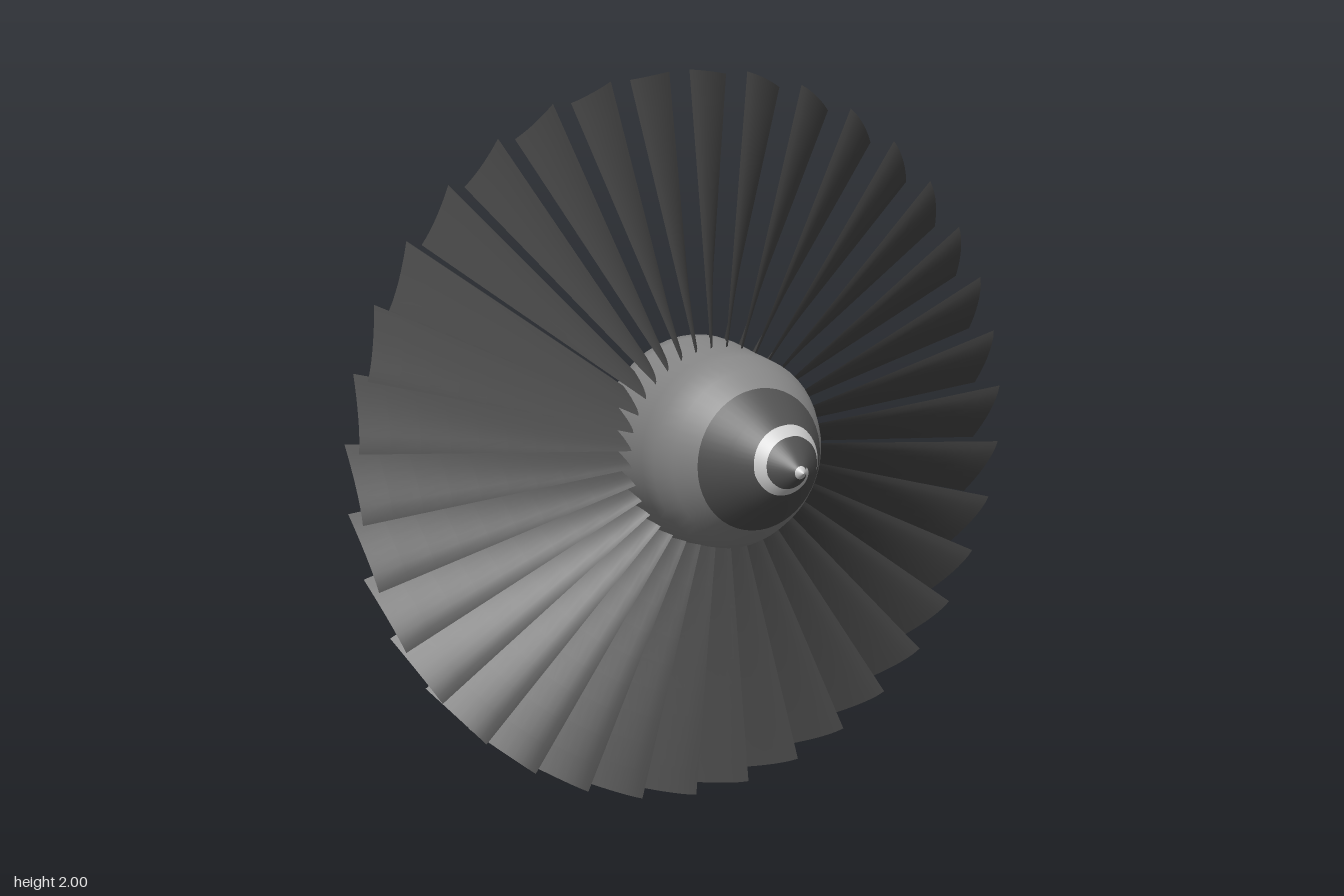
import * as THREE from 'three';

const BLADES = 36;

// Spinner profile as [radius, z], from the rear rim to the tip
const BODY = [[0.284, -0.28], [0.295, -0.28], [0.293, -0.245], [0.275, -0.127], [0.27, -0.08], [0.262, -0.03], [0.232, 0.02], [0.19, 0.075]];
const NOSE = [[0.19, 0.075], [0.135, 0.142], [0.085, 0.198], [0.04, 0.241], [0, 0.277]];

const material = (color) => new THREE.MeshStandardMaterial({ color, roughness: 0.7, side: THREE.DoubleSide });

function part(name, geometry, mat) {
  const mesh = new THREE.Mesh(geometry, mat);
  mesh.name = name;
  return mesh;
}

// Lathe turned so that its axis points forward
function turned(profile) {
  return new THREE.LatheGeometry(profile.map(([r, z]) => new THREE.Vector2(r, z)), 48).rotateX(Math.PI / 2);
}

// Grid surface from a rule f(u, v) -> [x, y, z]
function surface(nu, nv, f) {
  const pos = [], index = [];
  for (let i = 0; i <= nu; i++) {
    for (let j = 0; j <= nv; j++) {
      pos.push(...f(i / nu, j / nv));
      if (i < nu && j < nv) {
        const a = i * (nv + 1) + j, b = a + nv + 1;
        index.push(a, b, a + 1, b, b + 1, a + 1);
      }
    }
  }
  const g = new THREE.BufferGeometry();
  g.setAttribute('position', new THREE.Float32BufferAttribute(pos, 3));
  g.setIndex(index);
  g.computeVertexNormals();
  return g;
}

// Height of the nose at a given radius
function noseZ(r) {
  for (let i = NOSE.length - 1; i > 0; i--) {
    const [r0, z0] = NOSE[i], [r1, z1] = NOSE[i - 1];
    if (r <= r1) return z0 + (z1 - z0) * (r - r0) / (r1 - r0);
  }
  return NOSE[0][1];
}

export function createModel() {
  const model = new THREE.Group();
  model.name = 'turbineFan';
  const fan = new THREE.Group();
  fan.name = 'rotor';
  fan.position.y = 1;
  model.add(fan);

  // Hollow spinner, open at the back
  fan.add(part('hub', turned(BODY), material(0x858585)));
  fan.add(part('noseCone', turned(NOSE), material(0x505050)));

  // Painted spiral that winds in to the light tip
  const white = material(0xcccccc);
  const radii = [0.13, 0.108, 0.094, 0.088, 0.08, 0.065, 0.045, 0.03, 0.015];
  const spiral = surface(72, 4, (u, v) => {
    const k = u * (radii.length - 1), i = Math.min(Math.floor(k), radii.length - 2);
    const angle = -0.2 + u * 6.9;
    const width = 0.028 * Math.min(1, 0.25 + u * 5) * (1 - 0.35 * u);
    const r = Math.max(0.002, THREE.MathUtils.lerp(radii[i], radii[i + 1], k - i) + (0.5 - v) * width);
    return [r * Math.cos(angle), r * Math.sin(angle), noseZ(r) + 0.004];
  });
  fan.add(part('noseSpiral', spiral, white));
  const tip = turned([[0.017, noseZ(0.017) + 0.003], [0, 0.28]]);
  fan.add(part('noseTip', tip, white));

  // Cambered, twisted blades: the rear edge trails clockwise, roots reach into the hub
  const blade = surface(10, 8, (u, v) => {
    const r = THREE.MathUtils.lerp(0.24, 1, u);
    const half = THREE.MathUtils.lerp(0.028, 0.09, u);
    return [(2 * v - 1) * half, r, -0.128 - 0.117 * Math.pow(v, 1.45)];
  });
  const bladeMaterial = material(0x4a4a4a);
  const blades = new THREE.Group();
  blades.name = 'blades';
  for (let i = 0; i < BLADES; i++) {
    const mesh = part('blade', blade, bladeMaterial);
    mesh.rotation.z = (i / BLADES) * Math.PI * 2;
    blades.add(mesh);
  }
  fan.add(blades);
  return model;
}
